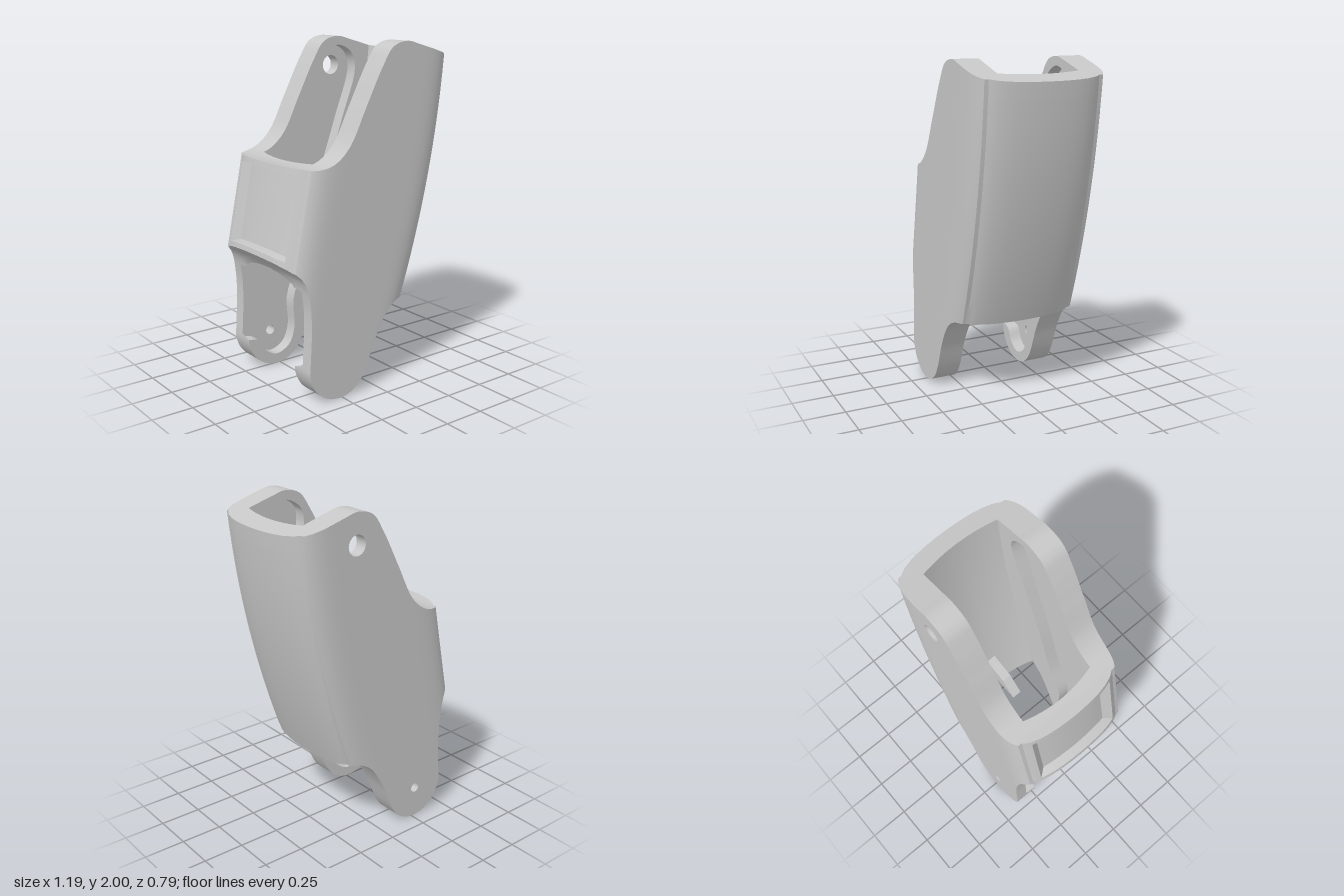
import * as THREE from 'three';
import { toCreasedNormals } from 'three/addons/utils/BufferGeometryUtils.js';

const HALF_Z = 0.395, INNER_Z = 0.245, FLOOR_Z = 0.32;
const PANEL = [0.44, 0.68];       // flat middle of each side, holds the pin holes
const CORNER = [0.155, 0.85];     // inner corners of the bore
const OPEN = [0.16, 0.276];       // stretch of the rear leg edge where the pocket breaks out
const { clamp, lerp } = THREE.MathUtils;

// Rear and front edges of the leaning sleeve, and the point between them at u = 0..1
const rearX = (y) => -0.6 + 0.2 * (y - 0.83);
const frontX = (y) => 0.277 + (y > 0.49 ? 0.222 - 0.1 * (y - 1.895) : 0.3) * (y - 0.49);
const xAt = (u, y) => rearX(y) + u * (frontX(y) - rearX(y));

// Cut lines of the two ends, turned into height as a function of u
const spline = (pts, n) => new THREE.CatmullRomCurve3(
  pts.map(([x, y]) => new THREE.Vector3(x, y, 0)), false, 'centripetal').getPoints(n);
function cutLine(pts) {
  let last = -1;
  return spline(pts, 80).map(({ x, y }) => {
    last = Math.max(last, (x - rearX(y)) / (frontX(y) - rearX(y)));
    return [last, y];
  });
}
const topCut = cutLine([[-0.498, 1.34], [-0.4, 1.335], [-0.3, 1.36], [-0.2, 1.445], [-0.09, 1.65], [0.026, 1.868],
  [0.1, 1.97], [0.2, 1.998], [0.3, 1.975], [0.45, 1.933], [0.589, 1.895]]);
const bottomCut = cutLine([[-0.6, 0.83], [-0.5, 0.735], [-0.466, 0.6], [-0.46, 0.44], [-0.47, 0.25], [-0.473, 0.18],
  [-0.453, 0.115], [-0.411, 0.058], [-0.345, 0.014], [-0.27, 0], [-0.195, 0.014], [-0.13, 0.057], [-0.08, 0.13],
  [0, 0.32], [0.09, 0.455], [0.17, 0.5], [0.277, 0.49]]);
function heightAt(line, u) {
  for (let i = 1; i < line.length; i++) {
    const [a, ya] = line[i - 1], [b, yb] = line[i];
    if (u <= b) return b - a < 1e-6 ? yb : ya + (yb - ya) * clamp((u - a) / (b - a), 0, 1);
  }
  return line[line.length - 1][1];
}
const yAt = (u, v) => lerp(heightAt(bottomCut, u), heightAt(topCut, u), v);
const flatPoint = (u, v) => new THREE.Vector2(xAt(u, yAt(u, v)), yAt(u, v));

// Ring samples: along the sides by u, across the bowed ends by z
const sideU = [...new Set([...topCut, ...bottomCut].map(([u]) => Math.round(u / 0.004))
  .concat([18, 20, 23, 27, 32, 40, 69, 110, 170, 202, 213, 220, 226, 230, 232]))]
  .sort((a, b) => a - b).map((k) => k * 0.004).filter((u) => u > 0.071 && u < 0.929);
const endZ = [-0.33, -0.31, -0.285, -0.235, -0.18, -0.12, -0.06, 0, 0.06, 0.12, 0.18, 0.235, 0.285, 0.31, 0.33];
const sideZ = (u) => {
  const s = Math.max(0, (Math.abs(2 * u - 1) - 0.36) / 0.64);
  return HALF_Z * Math.pow(1 - s ** 4, 0.25);
};
const endU = (z) => {
  const t = Math.abs(z) / HALF_Z;
  return 0.5 * Math.pow(1 - t ** 6, 1 / 6) * (1 - 0.11 * t * t);
};
const ring = [
  ...sideU.map((u) => [u, sideZ(u)]),
  ...endZ.map((z) => [0.5 + endU(z), -z]),
  ...[...sideU].reverse().map((u) => [u, -sideZ(u)]),
  ...endZ.map((z) => [0.5 - endU(z), z]),
];
const innerRing = ring.map(([u, z]) => {
  const iz = clamp(z, -INNER_Z, INNER_Z);
  const b = 0.033 * (1 - (iz / INNER_Z) ** 2);
  return [clamp(u, CORNER[0] - b, CORNER[1] + b), iz];
});
const between = (u, [lo, hi]) => u > lo - 1e-6 && u < hi + 1e-6;

// Grid surface from a point rule; skip(i, n) leaves a column open
function gridSurface(cols, rows, point, skip = () => false) {
  const pos = [], index = [];
  for (let j = 0; j < rows; j++) for (let i = 0; i < cols; i++) pos.push(...point(i, j));
  for (let j = 0; j < rows - 1; j++) for (let i = 0; i < cols; i++) {
    const n = (i + 1) % cols;
    if (skip(i, n)) continue;
    const a = j * cols + i, b = j * cols + n;
    index.push(a, b, b + cols, a, b + cols, a + cols);
  }
  const g = new THREE.BufferGeometry();
  g.setAttribute('position', new THREE.Float32BufferAttribute(pos, 3));
  g.setIndex(index);
  return toCreasedNormals(g, 0.5);
}

const rows = [0, 0.03, 0.055, 0.065];
for (let v = 0.12; v < 0.9; v += 0.06) rows.push(v);
rows.push(0.93, 0.94, 0.97, 1);

// Long recess inside each side wall: from the rear leg edge, round the pin bosses and back
const openEdge = sideU.filter((u) => between(u, OPEN)).map((u) => flatPoint(u, 0));
const pocketStart = openEdge[0], pocketEnd = openEdge[openEdge.length - 1];
const pocket = spline([pocketStart.toArray(), [-0.435, 0.8], [-0.4, 0.95], [-0.335, 1.2], [-0.21, 1.33], [-0.07, 1.44],
  [0.055, 1.62], [0.085, 1.71], [0.072, 1.8], [0.09, 1.88], [0.2, 1.945], [0.305, 1.9], [0.338, 1.8], [0.24, 1.5],
  [0.08, 1.05], [-0.04, 0.65], [-0.14, 0.4], [-0.138, 0.2], [-0.18, 0.1], [-0.27, 0.06], [-0.35, 0.1], [-0.4, 0.18],
  pocketEnd.toArray()], 100).map(({ x, y }) => new THREE.Vector2(x, y));

// Outline of a flat side sheet between two u values, with a given lower edge
function sheet([lo, hi], lowerEdge) {
  const us = sideU.filter((u) => u > lo + 1e-6 && u < hi - 1e-6).reverse();
  const mid = rows.slice(1, -1);
  return new THREE.Shape([
    flatPoint(lo, 0), ...lowerEdge, flatPoint(hi, 0), ...mid.map((v) => flatPoint(hi, v)),
    ...[hi, ...us, lo].map((u) => flatPoint(u, 1)), ...[...mid].reverse().map((v) => flatPoint(lo, v)),
  ]);
}
const lower = (lo, hi) => sideU.filter((u) => u > lo + 1e-6 && u < hi - 1e-6).map((u) => flatPoint(u, 0));

const pinHoles = [[0.205, 1.82, 0.058], [-0.27, 0.195, 0.03]];
const holePaths = () => pinHoles.map(([x, y, r]) => new THREE.Path().absarc(x, y, r, 0, Math.PI * 2, true));

export function createModel() {
  const group = new THREE.Group();
  const grey = new THREE.MeshStandardMaterial({ color: 0xc7c7c7, side: THREE.DoubleSide });
  grey.name = 'light grey plastic';
  const add = (name, geometry) => {
    const mesh = new THREE.Mesh(geometry, grey);
    mesh.name = name;
    group.add(mesh);
  };

  // Outer skin, pressed in at the rear to form the window recess
  add('outerShell', gridSurface(ring.length, rows.length, (i, j) => {
    const [u, z] = ring[i], v = rows[j];
    const y = yAt(u, v);
    const press = u < 0.1 && v > 0.06 && v < 0.935 ? 0.055 * clamp((0.285 - Math.abs(z)) / 0.05, 0, 1) : 0;
    return [xAt(u + press, y), y, z];
  }, (i, n) => between(ring[i][0], PANEL) && between(ring[n][0], PANEL)));

  // Bore end walls
  add('innerEndWalls', gridSurface(ring.length, rows.length, (i, j) => {
    const [u, z] = innerRing[i];
    const y = yAt(u, rows[j]);
    return [xAt(u, y), y, z];
  }, (i, n) => Math.abs(innerRing[i][1]) === INNER_Z && innerRing[i][1] === innerRing[n][1]));

  // Rims joining skin and bore at both ends, thinner where the pocket breaks out
  for (const [name, v] of [['topRim', 1], ['bottomRim', 0]]) {
    add(name, gridSurface(ring.length, 6, (i, j) => {
      const t = v ? j / 5 : 1 - j / 5;
      const [u0, z0] = ring[i], [u1, z1] = innerRing[i];
      const thin = v === 0 && u0 > OPEN[0] + 1e-6 && u0 < OPEN[1] - 1e-6;
      const u = lerp(u0, u1, t);
      const y = yAt(u, v);
      return [xAt(u, y), y, lerp(z0, thin ? Math.sign(z0) * FLOOR_Z : z1, t)];
    }));
  }

  // Side walls with inner pockets; only the back wall is drilled
  for (const side of [1, -1]) {
    const label = side > 0 ? 'front' : 'back';
    const outer = sheet(PANEL, lower(...PANEL));
    const inner = sheet(CORNER, [...lower(CORNER[0], OPEN[0]), ...pocket, ...lower(OPEN[1], CORNER[1])]);
    const floor = new THREE.Shape([...pocket, ...openEdge.slice(1, -1).reverse()]);
    if (side < 0) for (const shape of [outer, floor]) shape.holes.push(...holePaths());
    const flat = (name, shape, z) => add(label + name, new THREE.ShapeGeometry(shape, 24).translate(0, 0, side * z));
    flat('OuterPanel', outer, HALF_Z);
    flat('InnerPanel', inner, INNER_Z);
    flat('PocketFloor', floor, FLOOR_Z);
    add(label + 'PocketWall', gridSurface(pocket.length, 2, (i, j) =>
      [pocket[i].x, pocket[i].y, side * (j ? FLOOR_Z : INNER_Z)], (i, n) => n === 0));
  }
  for (const [x, y, r] of pinHoles) {
    add('pinHole', new THREE.CylinderGeometry(r, r, HALF_Z - FLOOR_Z, 48, 1, true)
      .rotateX(Math.PI / 2).translate(x, y, -(HALF_Z + FLOOR_Z) / 2));
  }

  // Small cord guide on the inside of the front wall
  const fin = new THREE.Shape([[-0.01, 0.6], [0.22, 0.6], [0.27, 0.74], [0.09, 0.7]]
    .map(([x, y]) => new THREE.Vector2(x, y)));
  add('cordGuide', new THREE.ExtrudeGeometry(fin, { depth: 0.06, bevelEnabled: false }).translate(0, 0, -0.04));

  return group;
}
